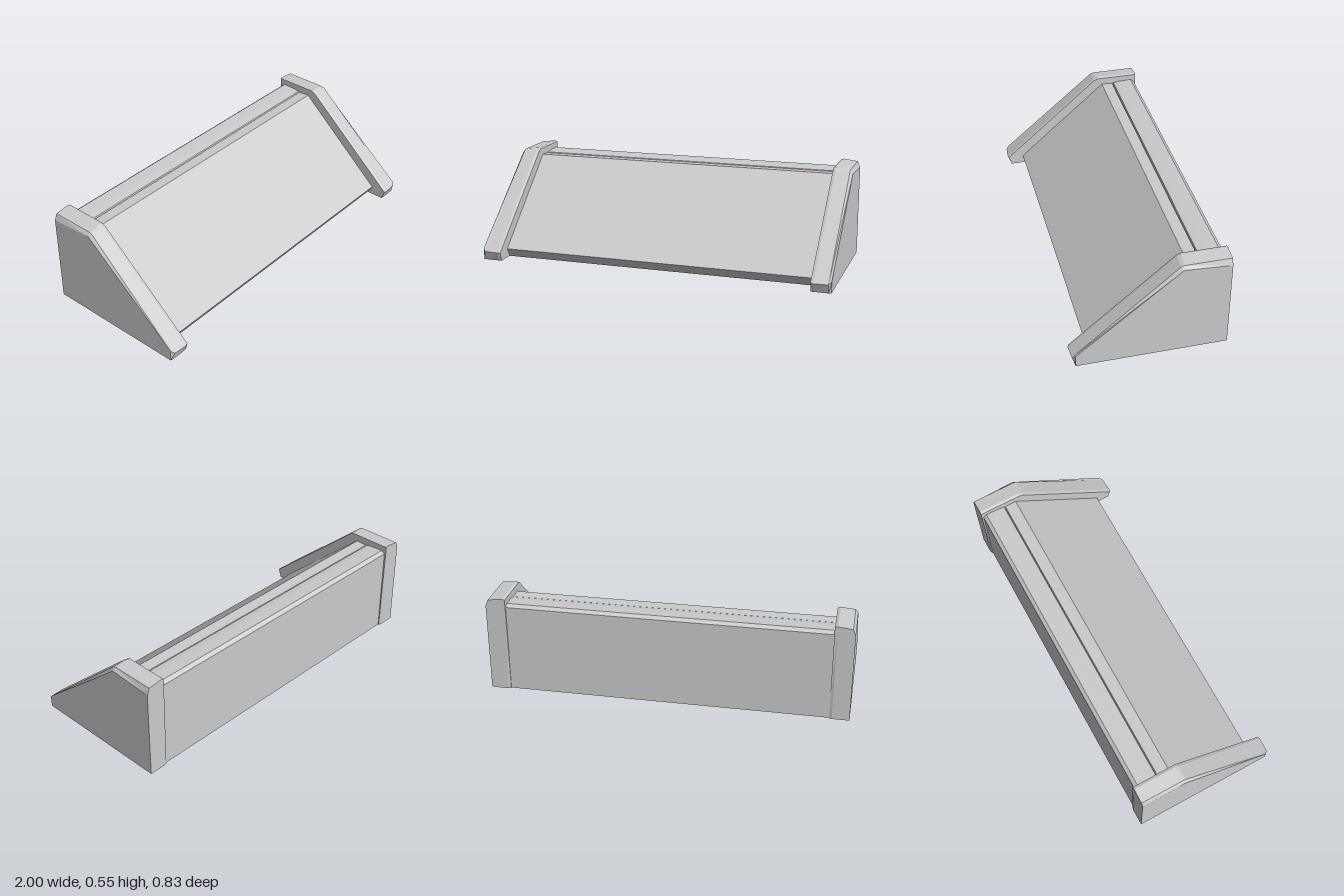
import * as THREE from 'three';

const material = new THREE.MeshStandardMaterial({ color: 0xcccccc, flatShading: true, side: THREE.DoubleSide });

// Skin a list of cross-sections { x, pts: [[z, y], ...] }; closed ones get end caps.
function loft(sections, closed) {
  const pos = [];
  const tri = (...corners) => corners.forEach(c => pos.push(...c));
  const rings = sections.map(s => s.pts.map(([z, y]) => [s.x, y, z]));
  const n = rings[0].length;
  for (let i = 0; i < rings.length - 1; i++) {
    for (let j = 0; j < (closed ? n : n - 1); j++) {
      const k = (j + 1) % n;
      const [a, b] = [rings[i], rings[i + 1]];
      tri(a[j], b[j], b[k]);
      tri(a[j], b[k], a[k]);
    }
  }
  if (closed) {
    const first = rings[0], last = rings[rings.length - 1];
    const flat = last.map(p => new THREE.Vector2(p[2], p[1]));
    for (const [a, b, c] of THREE.ShapeUtils.triangulateShape(flat, [])) {
      // outline runs counter-clockwise in (z, y), which faces -x
      tri(last[a], last[c], last[b]);
      tri(first[a], first[b], first[c]);
    }
  }
  const geometry = new THREE.BufferGeometry();
  geometry.setAttribute('position', new THREE.Float32BufferAttribute(pos, 3));
  geometry.computeVertexNormals();
  return geometry;
}

// Wedge-shaped end cheek, chamfered on its outer and inner rims
function cheek(side) {
  const sections = [
    { x: 0.89, pts: [[0.395, 0], [0.41, 0.05], [-0.15, 0.535], [-0.17, 0.545], [-0.415, 0.545], [-0.41, 0]] },
    { x: 0.905, pts: [[0.395, 0], [0.415, 0.05], [-0.15, 0.54], [-0.17, 0.55], [-0.415, 0.55], [-0.415, 0]] },
    { x: 0.985, pts: [[0.395, 0], [0.41, 0.05], [-0.15, 0.535], [-0.165, 0.54], [-0.415, 0.54], [-0.415, 0]] },
    { x: 1, pts: [[0.393, 0], [0.395, 0.065], [-0.16, 0.52], [-0.168, 0.521], [-0.415, 0.505], [-0.415, 0]] },
  ].map(s => ({ x: s.x * side, pts: s.pts }));
  // keep sections in rising x so both cheeks wind the same way
  if (side < 0) sections.reverse();
  return loft(sections, true);
}

export function createModel() {
  const model = new THREE.Group();
  model.name = 'slopedConsole';
  const add = (name, geometry) => {
    const mesh = new THREE.Mesh(geometry, material);
    mesh.name = name;
    model.add(mesh);
  };

  add('leftCheek', cheek(1));
  add('rightCheek', cheek(-1));

  // Sheet casing, open underneath: each panel spans between the cheeks
  const panels = {
    frontLip: [[0.29, 0], [0.32, 0.05]],
    slopedPanel: [[0.32, 0.05], [-0.2, 0.505]],
    topPanel: [[-0.2, 0.505], [-0.266, 0.502]],
    topSeam: [[-0.266, 0.502], [-0.27, 0.492], [-0.274, 0.505]],
    rearTopPanel: [[-0.274, 0.505], [-0.31, 0.51], [-0.385, 0.514], [-0.405, 0.498]],
    backPanel: [[-0.405, 0.498], [-0.405, 0]],
    // underside of the sloped panel, rising from the foot of the lip
    innerSheet: [[0.29, 0], [0.25, 0.04], [-0.27, 0.455], [-0.405, 0.498]],
  };
  for (const [name, pts] of Object.entries(panels)) {
    add(name, loft([{ x: -0.9, pts }, { x: 0.9, pts }], false));
  }
  return model;
}
